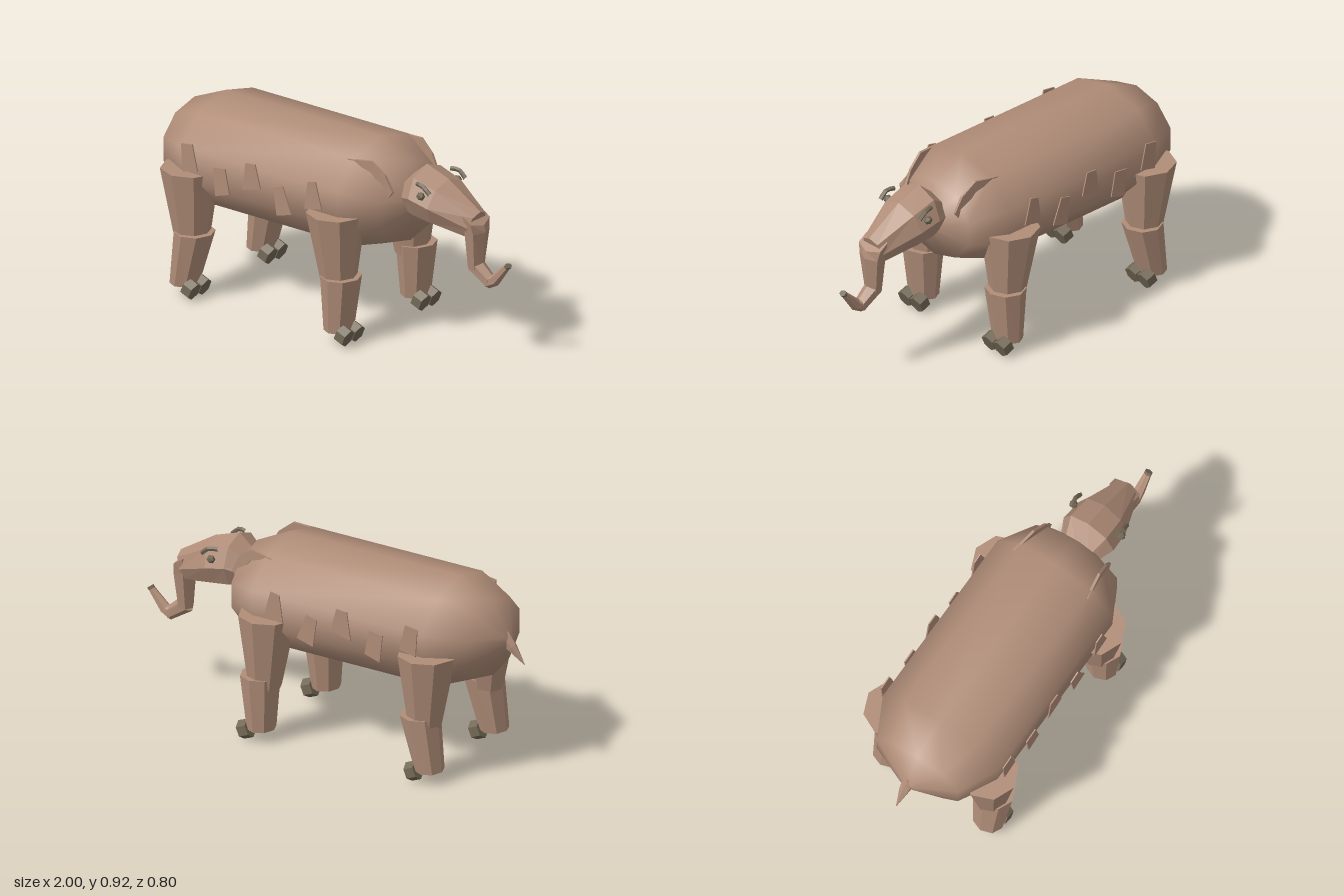
import * as THREE from 'three';

const hide = new THREE.MeshStandardMaterial({ color: 0xb08d78, side: THREE.DoubleSide, flatShading: true });
hide.name = 'hide';
const hideSmooth = new THREE.MeshStandardMaterial({ color: 0xb08d78 });
hideSmooth.name = 'smoothHide';
const horn = new THREE.MeshStandardMaterial({ color: 0x736956, flatShading: true });
horn.name = 'horn';

const DOWN = -Math.PI / 2;

// Skin a row of rings [x, y, axisAngle, halfHeight, halfWidth, z] and close both ends.
function loft(rings, sides) {
  const pos = [], idx = [];
  for (const [x, y, t, h, w, z = 0] of rings) {
    for (let i = 0; i < sides; i++) {
      const a = (i / sides) * Math.PI * 2;
      const n = h * Math.cos(a);
      pos.push(x - Math.sin(t) * n, y + Math.cos(t) * n, z + w * Math.sin(a));
    }
  }
  const last = (rings.length - 1) * sides;
  for (let r = 0; r < last; r += sides) {
    for (let i = 0; i < sides; i++) {
      const j = (i + 1) % sides;
      idx.push(r + i, r + j, r + sides + i, r + j, r + sides + j, r + sides + i);
    }
  }
  for (let i = 1; i < sides - 1; i++) {
    idx.push(0, i + 1, i, last, last + i, last + i + 1);
  }
  const geo = new THREE.BufferGeometry();
  geo.setAttribute('position', new THREE.Float32BufferAttribute(pos, 3));
  geo.setIndex(idx);
  geo.computeVertexNormals();
  return geo;
}

// Thin plate from an outline in the side plane.
function plate(points, depth) {
  const shape = new THREE.Shape(points.map(([x, y]) => new THREE.Vector2(x, y)));
  return new THREE.ExtrudeGeometry(shape, { depth, bevelEnabled: false }).translate(0, 0, -depth / 2);
}

export function createModel() {
  const model = new THREE.Group();
  const add = (name, geo, mat = hide) => {
    const mesh = new THREE.Mesh(geo, mat);
    mesh.name = name;
    model.add(mesh);
    return mesh;
  };

  // Barrel body with rounded ends
  add('body', loft([
    [-0.92, 0.645, 0, 0.03, 0.035],
    [-0.835, 0.647, 0, 0.185, 0.234],
    [-0.655, 0.648, 0, 0.262, 0.331],
    [0.25, 0.656, 0, 0.262, 0.331],
    [0.42, 0.645, 0, 0.19, 0.234],
    [0.485, 0.645, 0, 0.03, 0.035],
  ], 10), hideSmooth);

  // Tail
  add('tail', loft([
    [-0.88, 0.665, -2.3, 0.045, 0.035],
    [-0.935, 0.62, -2.3, 0.025, 0.025],
    [-1.0, 0.55, -2.3, 0.002, 0.002],
  ], 6));

  // Head tapering to the snout
  add('head', loft([
    [0.415, 0.69, 0, 0.075, 0.09],
    [0.515, 0.72, 0, 0.13, 0.137],
    [0.62, 0.695, -0.2, 0.115, 0.13],
    [0.80, 0.625, -0.35, 0.075, 0.065],
  ], 8));

  // Trunk in three bent pieces
  add('trunkTop', loft([
    [0.80, 0.665, -2.15, 0.055, 0.08],
    [0.805, 0.60, DOWN, 0.05, 0.068],
    [0.80, 0.42, DOWN, 0.036, 0.042],
  ], 6));
  add('trunkMiddle', loft([
    [0.80, 0.43, -0.95, 0.042, 0.042],
    [0.885, 0.37, -0.2, 0.034, 0.032],
  ], 6));
  add('trunkEnd', loft([
    [0.87, 0.37, 0.2, 0.035, 0.032],
    [0.91, 0.385, 0.75, 0.028, 0.027],
    [0.985, 0.47, 0.95, 0.014, 0.018],
  ], 6));
  add('trunkTip', loft([
    [0.98, 0.465, 0.95, 0.015, 0.019],
    [0.99, 0.475, 0.95, 0.015, 0.019],
  ], 6), horn);

  // Quads on the flanks: lower left, lower right, upper right, upper left
  const flankPatches = [
    [[-0.63, 0.625], [-0.545, 0.645], [-0.575, 0.77], [-0.64, 0.76]],
    [[-0.44, 0.555], [-0.36, 0.58], [-0.385, 0.70], [-0.455, 0.69]],
    [[-0.285, 0.625], [-0.18, 0.655], [-0.21, 0.765], [-0.265, 0.76]],
    [[-0.085, 0.55], [0, 0.575], [-0.05, 0.70], [-0.105, 0.685]],
    [[0.075, 0.625], [0.175, 0.645], [0.14, 0.77], [0.095, 0.76]],
  ];
  const earOutline = [
    [0.215, 0.862], [0.34, 0.82], [0.39, 0.76], [0.42, 0.70],
    [0.45, 0.745], [0.41, 0.82], [0.34, 0.875], [0.28, 0.868],
  ];

  for (const s of [1, -1]) {
    const side = s > 0 ? 'Right' : 'Left';

    // Legs: front pair and back pair, each with thigh, shin and two toes
    const legs = [
      ['front', 0.2, 0.215, 0.235, 0.226, 0.288],
      ['back', -0.647, -0.635, -0.615, -0.668, -0.603],
    ];
    for (const [name, top, knee, shinTop, ankle, toe] of legs) {
      add(`${name}${side}Thigh`, loft([
        [top, 0.62, DOWN, 0.139, 0.137, s * 0.262],
        [knee, 0.265, DOWN, 0.078, 0.078, s * 0.262],
      ], 8));
      add(`${name}${side}Shin`, loft([
        [shinTop, 0.32, DOWN, 0.093, 0.098, s * 0.27],
        [ankle, 0.06, DOWN, 0.065, 0.075, s * 0.275],
      ], 8));
      for (const z of [0.237, 0.312]) {
        add(`${name}${side}Toe`, loft([
          [toe - 0.025, 0.062, -0.4, 0.045, 0.04, s * z],
          [toe + 0.022, 0.043, -0.4, 0.045, 0.04, s * z],
        ], 6), horn);
      }
    }

    // Flank patches
    for (const quad of flankPatches) {
      add(`flankPatch${side}`, plate(quad, 0.006).translate(0, 0, s * 0.335));
    }

    // Ear flap leaning inward toward the head
    const ear = plate(earOutline, 0.012);
    const p = ear.attributes.position;
    for (let i = 0; i < p.count; i++) {
      p.setZ(i, p.getZ(i) + s * (0.2 - (p.getX(i) - 0.215) * 0.16));
    }
    add(`ear${side}`, ear);

    // Eye and arched brow
    add(`eye${side}`, new THREE.IcosahedronGeometry(0.021, 0).translate(0.585, 0.75, s * 0.132), horn);
    const arch = new THREE.CatmullRomCurve3([
      new THREE.Vector3(0.555, 0.80, s * 0.12),
      new THREE.Vector3(0.595, 0.80, s * 0.13),
      new THREE.Vector3(0.635, 0.768, s * 0.128),
    ]);
    add(`brow${side}`, new THREE.TubeGeometry(arch, 4, 0.011, 5), horn);
  }
  return model;
}
